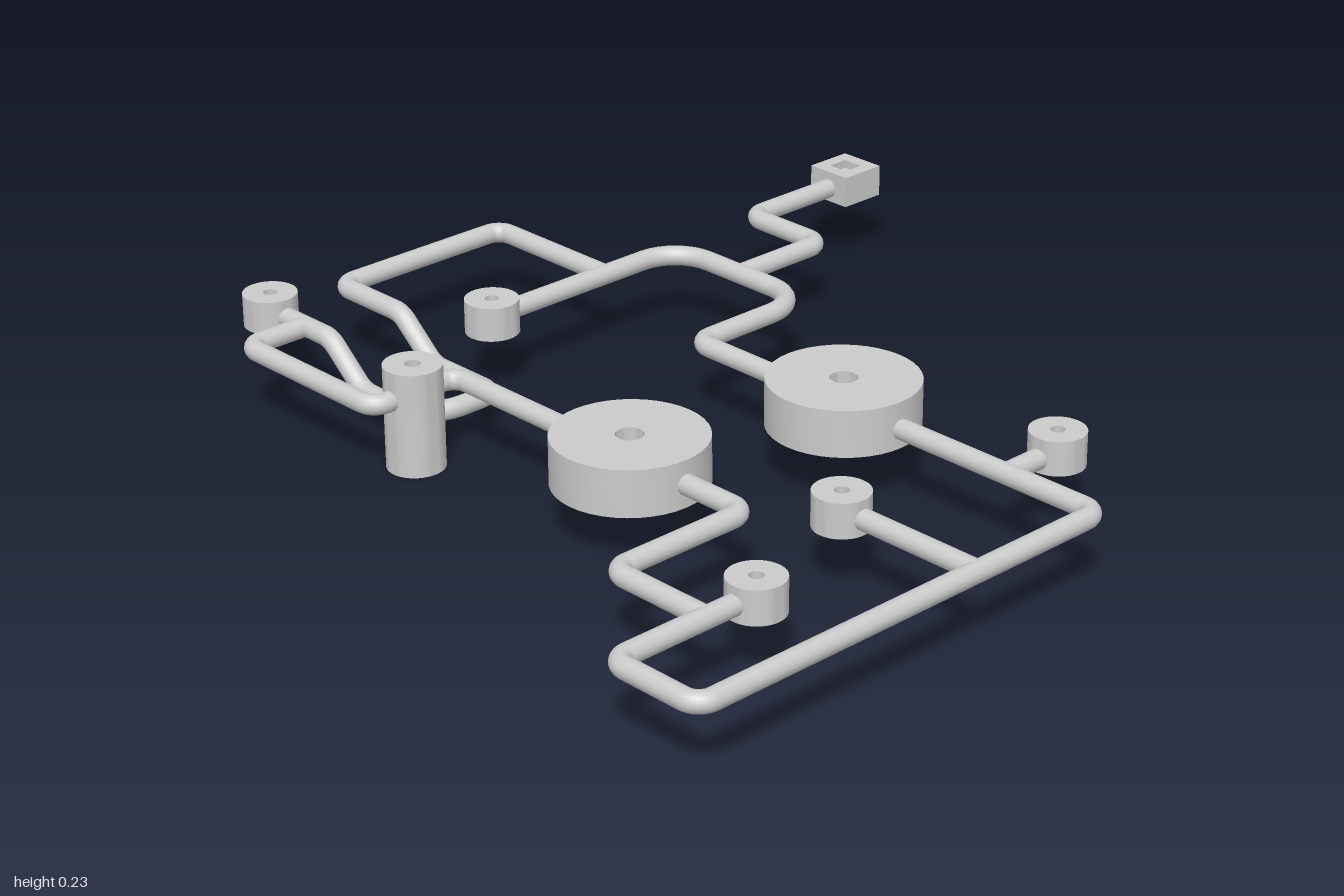
import * as THREE from 'three';
import { mergeGeometries, toCreasedNormals } from 'three/addons/utils/BufferGeometryUtils.js';

const PIPE_R = 0.022, PIPE_Y = 0.164, WELL_FLOOR = 0.187;

export function createModel() {
  const model = new THREE.Group();
  const material = new THREE.MeshStandardMaterial({ color: 0xcccccc, side: THREE.DoubleSide });

  const add = (name, geometry) => {
    const mesh = new THREE.Mesh(geometry, material);
    mesh.name = name;
    model.add(mesh);
    return mesh;
  };

  // Pipe through corner points [x, z, bend radius, y], each corner rounded
  const pipe = (name, corners) => {
    const pts = corners.map(([x, z, , y = PIPE_Y]) => new THREE.Vector3(x, y, z));
    const parts = [];
    let from = pts[0];
    const straight = (to) => parts.push(new THREE.TubeGeometry(new THREE.LineCurve3(from, to), 1, PIPE_R, 16));
    for (let i = 1; i < pts.length - 1; i++) {
      const p = pts[i], bend = corners[i][2] ?? 0.035;
      const toward = (q) => p.clone().add(q.clone().sub(p).setLength(bend));
      const a = toward(pts[i - 1]), b = toward(pts[i + 1]);
      straight(a);
      // cubic handles approximate a circular bend
      const curve = new THREE.CubicBezierCurve3(a, a.clone().lerp(p, 0.55), b.clone().lerp(p, 0.55), b);
      parts.push(new THREE.TubeGeometry(curve, 8, PIPE_R, 16));
      from = b;
    }
    straight(pts[pts.length - 1]);
    add(name, mergeGeometries(parts));
  };

  // Round chamber with a shallow well in its top
  const chamber = (name, x, z, radius, bottom, top, well) => {
    const profile = [[0, bottom], [radius, bottom], [radius, top], [well, top], [well, WELL_FLOOR], [0, WELL_FLOOR]]
      .map(([r, y]) => new THREE.Vector2(r, y));
    add(name, toCreasedNormals(new THREE.LatheGeometry(profile, 40), 0.6)).position.set(x, 0, z);
  };

  // Large chambers
  chamber('backMainChamber', 0.27, -0.07, 0.16, 0.122, 0.224, 0.029);
  chamber('frontMainChamber', 0.153, 0.405, 0.16, 0.114, 0.216, 0.029);

  // Small ports and the tall standing port
  chamber('innerLeftPort', -0.557, 0.15, 0.059, 0.13, 0.205, 0.015);
  chamber('outerLeftPort', -0.91, 0.468, 0.059, 0.132, 0.205, 0.015);
  chamber('middleRightPort', 0.593, 0.267, 0.059, 0.13, 0.205, 0.015);
  chamber('backRightPort', 0.707, -0.22, 0.059, 0.135, 0.209, 0.015);
  chamber('frontRightPort', 0.723, 0.62, 0.059, 0.13, 0.203, 0.015);
  chamber('tallPort', -0.375, 0.515, 0.062, 0, 0.228, 0.017);

  // Square port with a square well
  const square = (Type, h) => new Type([[-h, -h], [h, -h], [h, h], [-h, h]].map(([x, y]) => new THREE.Vector2(x, y)));
  const outline = square(THREE.Shape, 0.056);
  outline.holes.push(square(THREE.Path, 0.025));
  const frame = new THREE.ExtrudeGeometry(outline, { depth: 0.072, bevelEnabled: false });
  frame.rotateX(-Math.PI / 2);
  add('squarePort', frame).position.set(-0.575, 0.133, -0.944);
  add('squarePortFloor', new THREE.BoxGeometry(0.05, 0.052, 0.05)).position.set(-0.575, 0.16, -0.944);

  // Inlet and the arched main run, ending at the front right port
  pipe('inletPipe', [[-0.575, -0.93], [-0.575, -0.638], [-0.355, -0.638], [-0.355, -0.388]]);
  pipe('mainPipe', [
    [-0.557, 0.15], [-0.557, -0.388, 0.1], [-0.155, -0.388, 0.1], [-0.155, -0.07], [0.94, -0.07],
    [0.94, 0.972], [0.723, 0.972], [0.723, 0.62],
  ]);
  pipe('backRightBranch', [[0.707, -0.22], [0.707, -0.07]]);
  pipe('middleRightBranch', [[0.593, 0.267], [0.94, 0.267]]);

  // Run through the front chamber and the tall port to the outer left line
  pipe('frontPipe', [
    [0.723, 0.745], [0.475, 0.745], [0.475, 0.405], [-0.375, 0.405], [-0.375, 0.62],
    [-0.79, 0.62], [-0.79, 0.468],
  ]);

  // Left loop that dips to a lower level and climbs back
  const low = 0.076;
  pipe('dippingPipe', [
    [-0.557, -0.175], [-0.91, -0.175], [-0.91, 0.278], [-0.705, 0.278, 0.02], [-0.6, 0.278, 0.02, low],
    [-0.405, 0.278, 0.035, low], [-0.405, 0.468, 0.1, low], [-0.6, 0.468, 0.02, low],
    [-0.705, 0.468, 0.02], [-0.91, 0.468],
  ]);

  return model;
}
